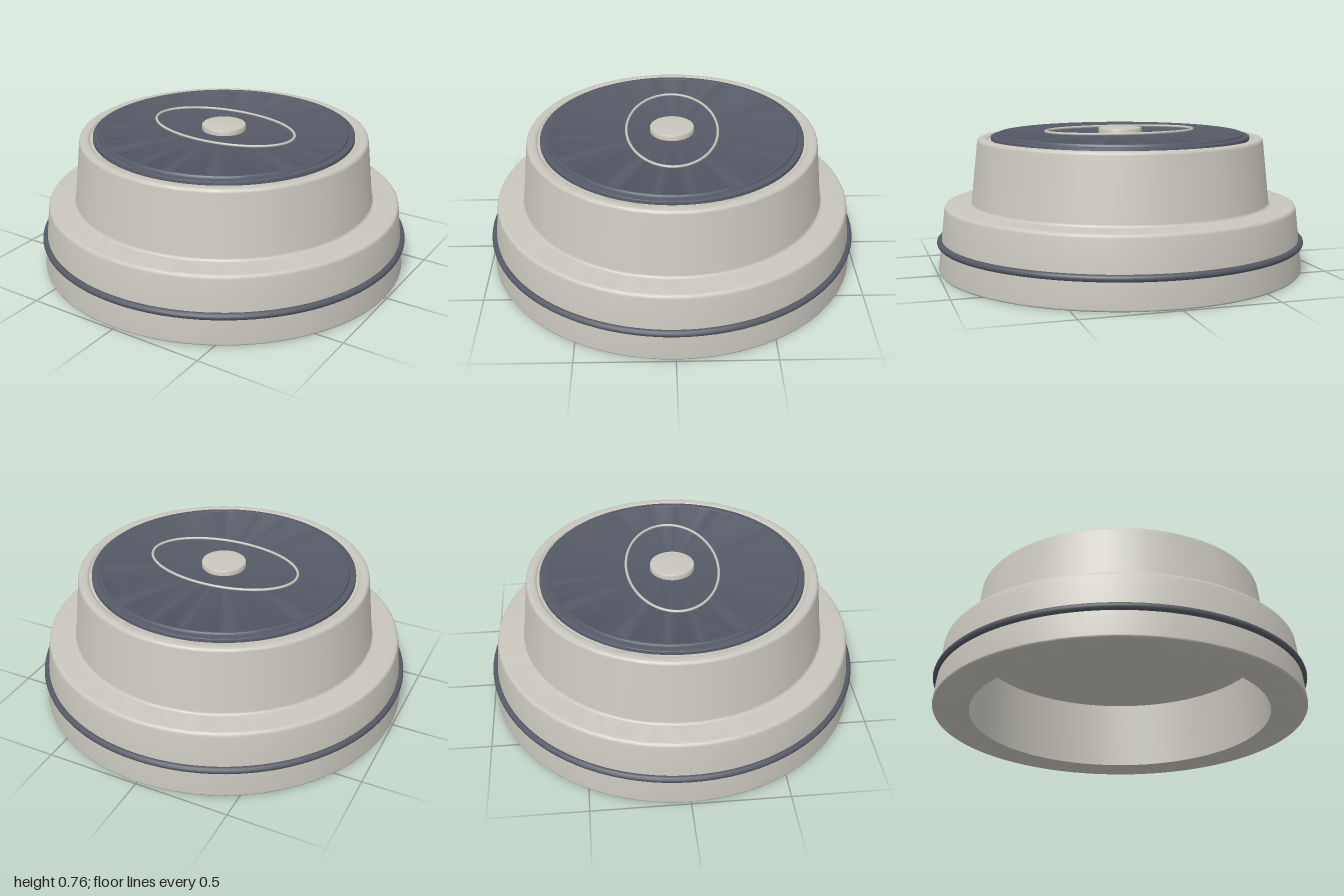
import * as THREE from 'three';
import { toCreasedNormals } from 'three/addons/utils/BufferGeometryUtils.js';

const cream = new THREE.MeshStandardMaterial({ color: 0xc8c6bc });
cream.name = 'warm grey';
const slate = new THREE.MeshStandardMaterial({ color: 0x565a66 });
slate.name = 'slate';

// Profile points are [radius, height, cornerRadius]; corners are rounded by a curve.
function turned(name, material, corners, segments = 96) {
  const p = corners.map(([x, y]) => new THREE.Vector2(x, y));
  const points = [];
  corners.forEach(([, , r], i) => {
    if (!r) return points.push(p[i]);
    const a = p[i].clone().add(p[i - 1].clone().sub(p[i]).setLength(r));
    const b = p[i].clone().add(p[i + 1].clone().sub(p[i]).setLength(r));
    points.push(...new THREE.QuadraticBezierCurve(a, p[i], b).getPoints(4));
  });
  const geometry = toCreasedNormals(new THREE.LatheGeometry(points, segments), 0.6);
  const mesh = new THREE.Mesh(geometry, material);
  mesh.name = name;
  return mesh;
}

export function createModel() {
  const model = new THREE.Group();
  model.name = 'steppedCap';

  // Stepped hollow body, from the cavity ceiling round to the top
  model.add(turned('body', cream, [
    [0, 0.385], [0.795, 0.385], [0.8, 0],
    [0.993, 0, 0.012], [0.952, 0.357, 0.02], [0.81, 0.357, 0.015],
    [0.771, 0.712, 0.018], [0.725, 0.712, 0.008], [0.715, 0.702], [0, 0.702],
  ]));

  // Round band on the skirt
  const band = new THREE.Mesh(new THREE.TorusGeometry(0.981, 0.018, 12, 96), slate);
  band.name = 'skirtBand';
  band.rotation.x = Math.PI / 2;
  band.position.y = 0.157;
  model.add(band);

  // Top disc with a raised inner ring
  model.add(turned('topDisc', slate, [
    [0.7, 0.7], [0.7, 0.722, 0.006], [0.668, 0.722], [0.664, 0.735, 0.004],
    [0.65, 0.735, 0.004], [0.645, 0.731], [0, 0.731],
  ]));

  // Fine elliptical inlay
  const path = new THREE.CatmullRomCurve3(
    Array.from({ length: 48 }, (_, i) => {
      const a = (i / 48) * Math.PI * 2;
      return new THREE.Vector3(0.411 * Math.cos(a), 0.746, 0.243 * Math.sin(a));
    }), true);
  const inlay = new THREE.Mesh(new THREE.TubeGeometry(path, 128, 0.007, 8, true), cream);
  inlay.name = 'ellipseInlay';
  model.add(inlay);

  // Central button
  model.add(turned('centreButton', cream, [
    [0.117, 0.725], [0.117, 0.76, 0.006], [0, 0.762],
  ], 48));

  return model;
}
